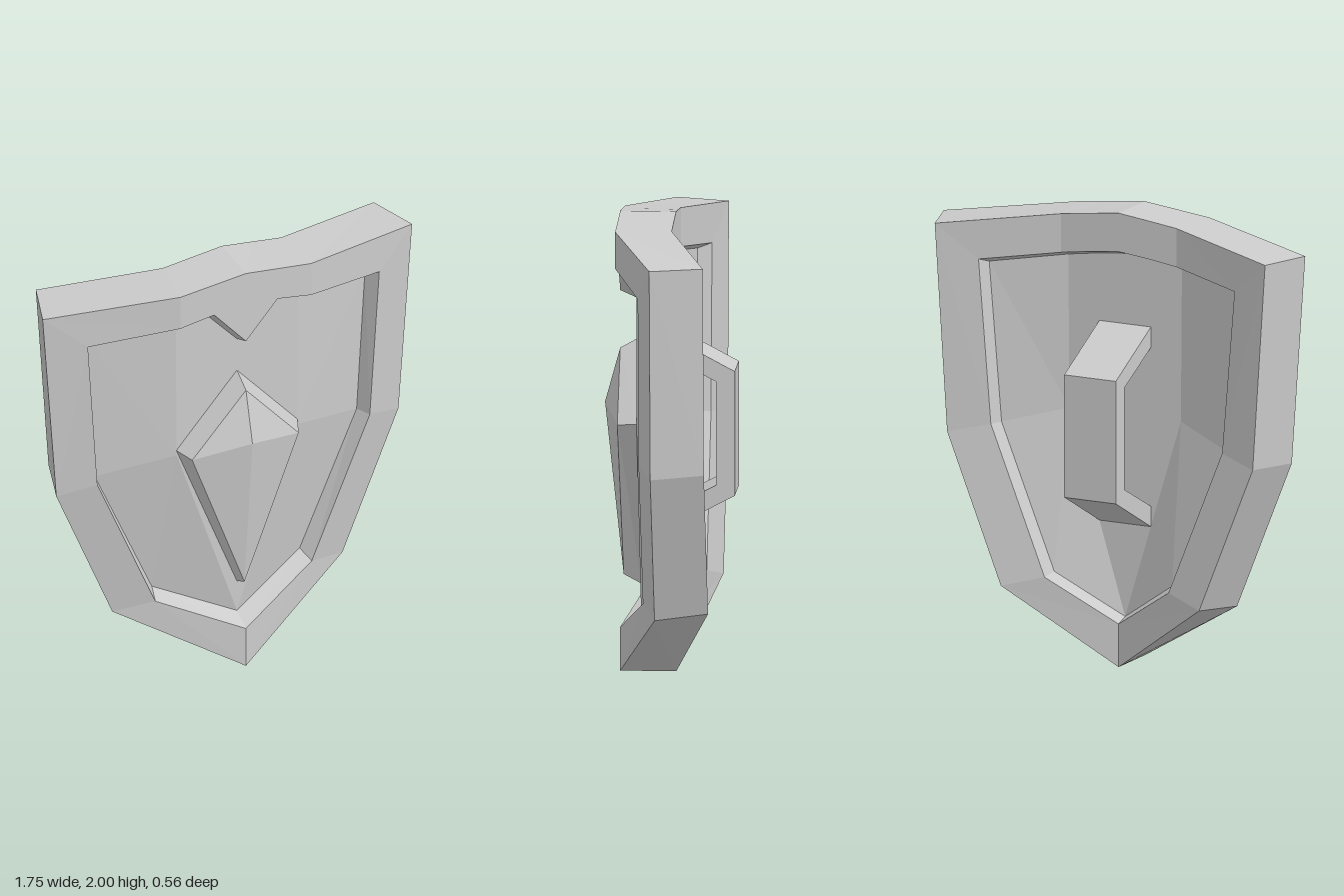
import * as THREE from 'three';

const material = new THREE.MeshStandardMaterial({ color: 0xcccccc, flatShading: true });

// Builds a mesh from triangles of the +x half, mirrored to -x
function mirroredMesh(name, tris) {
  const pos = [];
  for (const [a, b, c] of tris) {
    pos.push(...a, ...b, ...c);
    for (const [x, y, z] of [a, c, b]) pos.push(-x, y, z);
  }
  const geo = new THREE.BufferGeometry();
  geo.setAttribute('position', new THREE.Float32BufferAttribute(pos, 3));
  geo.computeVertexNormals();
  const mesh = new THREE.Mesh(geo, material);
  mesh.name = name;
  return mesh;
}

// Strip joining an inner half outline to an outer one
function strip(a, b) {
  const tris = [];
  for (let i = 0; i < a.length - 1; i++) {
    tris.push([a[i], a[i + 1], b[i + 1]]);
    tris.push([a[i], b[i + 1], b[i]]);
  }
  return tris;
}

// Fills a half outline around a hub point
function fan(p, hub, back = false) {
  const tris = [[hub, p[0], p[p.length - 1]]];
  for (let i = 0; i < p.length - 1; i++) tris.push([hub, p[i + 1], p[i]]);
  return back ? tris.map(([a, b, c]) => [a, c, b]) : tris;
}

// Half outline: flat middle at zMid, outer corners bent back to zSide.
// Order: top centre, notch shoulder, bend, top corner, side, lower corner, tip
const outline = (zMid, zSide, pts) =>
  pts.map(([x, y], i) => [x, y, i >= 3 && i <= 5 ? zSide : zMid]);

export function createModel() {
  const group = new THREE.Group();
  group.name = 'shield';

  const frontOuter = outline(0.22, 0.035,
    [[0, 2], [0.15, 1.983], [0.31, 1.965], [0.875, 1.9], [0.81, 0.98], [0.545, 0.32], [0, 0]]);
  const frontInner = outline(0.22, 0.097,
    [[0, 1.655], [0.15, 1.83], [0.31, 1.805], [0.69, 1.745], [0.645, 1.03], [0.37, 0.36], [0, 0.19]]);
  const frontFloor = outline(0.13, 0.018,
    [[0, 1.615], [0.165, 1.8], [0.29, 1.78], [0.66, 1.722], [0.62, 1.02], [0.35, 0.385], [0, 0.23]]);
  const backOuter = outline(-0.02, -0.19,
    [[0, 2], [0.14, 1.983], [0.28, 1.965], [0.8, 1.9], [0.74, 0.99], [0.48, 0.34], [0, 0]]);
  const backInner = outline(-0.02, -0.13,
    [[0, 1.83], [0.14, 1.815], [0.28, 1.795], [0.62, 1.75], [0.56, 1.03], [0.3, 0.385], [0, 0.19]]);
  const backFloor = outline(0.04, -0.07,
    [[0, 1.81], [0.14, 1.795], [0.275, 1.775], [0.6, 1.73], [0.54, 1.03], [0.285, 0.4], [0, 0.21]]);

  // Raised frame with its sloped inner walls, outer edge and back face
  const rings = [frontFloor, frontInner, frontOuter, backOuter, backInner, backFloor];
  const frameTris = [];
  for (let i = 0; i < rings.length - 1; i++) frameTris.push(...strip(rings[i], rings[i + 1]));
  group.add(mirroredMesh('frame', frameTris));

  // Recessed panels
  group.add(mirroredMesh('frontPanel', fan(frontFloor, [0.285, 1.1, 0.13])));
  group.add(mirroredMesh('backPanel', fan(backFloor, [0.27, 1.1, 0.04], true)));

  // Diamond boss on the front
  const bossBase = [[0, 1.455, 0.13], [0.287, 1.125, 0.13], [0, 0.38, 0.13]];
  const bossRim = [[0, 1.405, 0.22], [0.252, 1.115, 0.215], [0, 0.42, 0.205]];
  const apex = [0, 1.17, 0.285];
  const peak = [apex, apex, apex];
  group.add(mirroredMesh('boss', [
    ...strip(bossRim, bossBase),
    [peak[0], bossRim[1], bossRim[0]],
    [peak[0], bossRim[2], bossRim[1]],
  ]));

  // Grip on the back: a C-shaped side profile (depth, height) given width
  const profile = [
    [0.28, 0.79], [0.28, 1.33], [-0.04, 1.5], [-0.04, 1.41],
    [0.2, 1.285], [0.2, 0.835], [-0.04, 0.71], [-0.04, 0.62],
  ].map(([d, y]) => new THREE.Vector2(d, y));
  const gripGeo = new THREE.ExtrudeGeometry(new THREE.Shape(profile), { depth: 0.25, bevelEnabled: false });
  gripGeo.translate(0, 0, -0.125).rotateY(Math.PI / 2);
  const grip = new THREE.Mesh(gripGeo, material);
  grip.name = 'grip';
  group.add(grip);

  return group;
}
